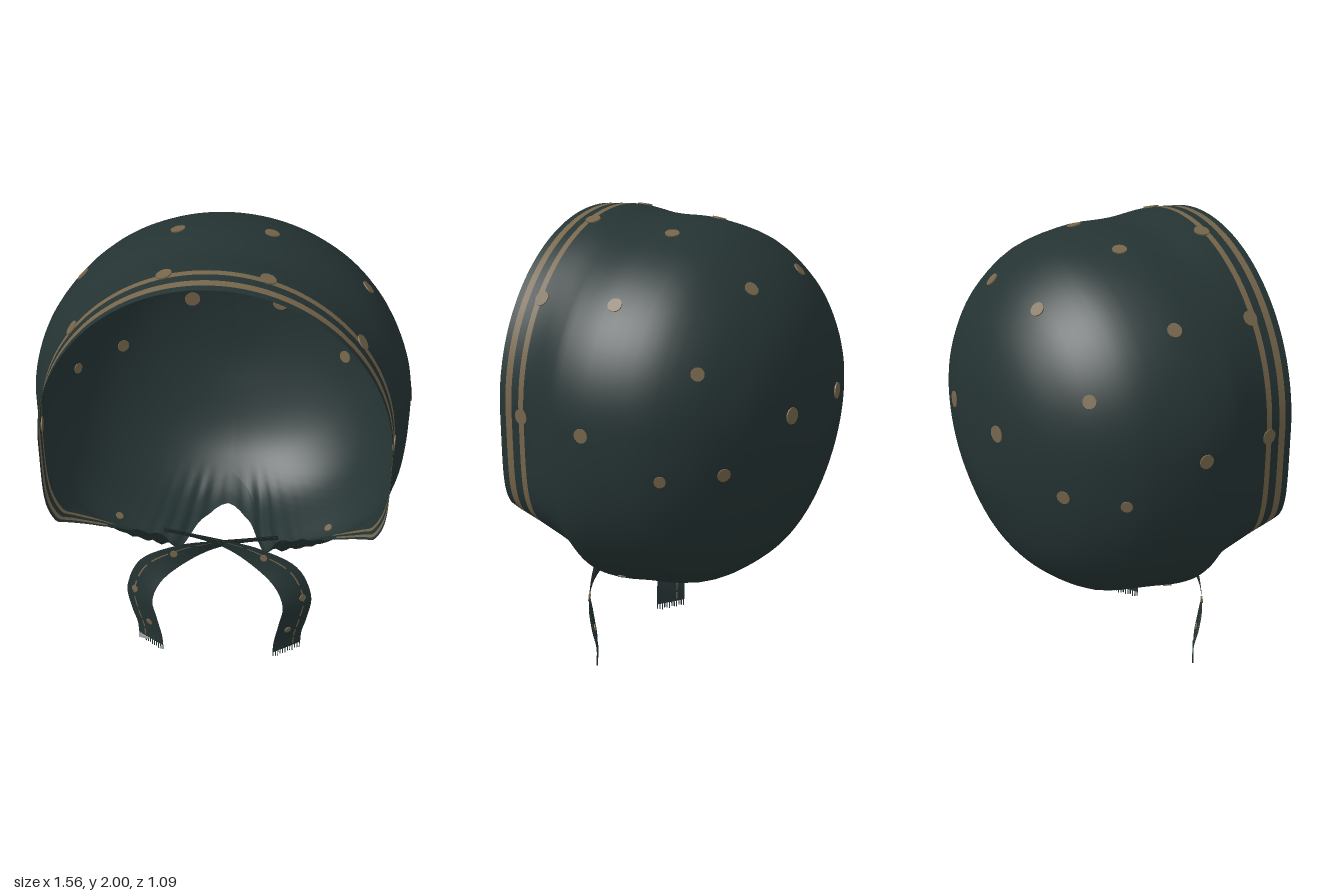
import * as THREE from 'three';

const V = (x, y, z) => new THREE.Vector3(x, y, z);
const CY = 1.25; // height of the bonnet's middle

// Cross-sections from the back pole to the front hem: [z, half width, rise, drop, squareness of lower half]
const sections = [
  [-0.55, 0, 0, 0, 2], [-0.535, 0.2, 0.19, 0.23, 2], [-0.48, 0.38, 0.36, 0.42, 2],
  [-0.4, 0.515, 0.49, 0.6, 2.1], [-0.3, 0.625, 0.59, 0.715, 2.2], [-0.15, 0.72, 0.68, 0.8, 2.3],
  [0.05, 0.77, 0.72, 0.82, 2.4], [0.2, 0.77, 0.72, 0.81, 2.7], [0.28, 0.75, 0.725, 0.68, 3.2],
  [0.4, 0.71, 0.745, 0.58, 4.5], [0.54, 0.7, 0.735, 0.49, 6],
];
const curveA = new THREE.CatmullRomCurve3(sections.map(s => V(s[0], s[1], s[2])), false, 'catmullrom', 0.5);
const curveB = new THREE.CatmullRomCurve3(sections.map(s => V(s[3], s[4], 0)), false, 'catmullrom', 0.5);

// Point on the cloth: angle in degrees around z, k = section index, side = +1 / -1
function cloth(deg, k, side) {
  const t = Math.min(1, Math.max(0, k / 10));
  const a = curveA.getPoint(t), b = curveB.getPoint(t);
  const r = THREE.MathUtils.degToRad(deg);
  const c = Math.max(0, Math.cos(r)), s = Math.abs(Math.sin(r));
  const e = deg < 0 ? 2 / b.y : 1;
  // gathers near the neck
  const gather = THREE.MathUtils.smoothstep(-deg, 55, 80) * THREE.MathUtils.smoothstep(k, 4, 6.5);
  const drop = b.x * (1 + 0.014 * gather * Math.sin(deg * 1.3));
  const y = deg < 0 ? CY - drop * Math.pow(s, e) : CY + a.z * s;
  return V(side * a.y * Math.pow(c, e), y, a.x);
}

// Edge of the cloth as (angle / 15, k): neck hole, slanted cheek edge, face opening
const edgeKeys = [[-90, 5.15], [-85, 5.6], [-82.5, 6.4], [-81, 7.2], [-79, 7.8], [-72, 8.4], [-58, 9],
  [-45, 9.6], [-36, 10], [-15, 10], [20, 10], [55, 10], [90, 10]];
const edge = new THREE.CatmullRomCurve3(edgeKeys.map(([d, k]) => V(d / 15, k, 0)));

function bonnetGeometry() {
  const half = edge.getSpacedPoints(100).map(p => ({ deg: p.x * 15, k: Math.min(10, p.y), side: 1 }));
  const cols = half.concat(half.slice(1, -1).reverse().map(c => ({ ...c, side: -1 })));
  const inner = 32, offsets = [0.89, 0.69, 0.43, 0.21, 0], rows = inner + offsets.length;
  const pos = [];
  for (let j = 0; j < rows; j++) {
    for (const c of cols) {
      const k = j < inner ? (c.k - 0.95) * j / (inner - 1) : c.k - offsets[j - inner];
      pos.push(...cloth(c.deg, k, c.side).toArray());
    }
  }
  const n = cols.length, plain = [], trim = [];
  for (let j = 0; j < rows - 1; j++) {
    for (let i = 0; i < n; i++) {
      const i2 = (i + 1) % n, a = j * n + i, b = j * n + i2;
      const striped = (j === inner || j === inner + 2) && cols[i].deg > -62;
      (striped ? trim : plain).push(a, b, b + n, a, b + n, a + n);
    }
  }
  return groupedGeometry(pos, plain, trim);
}

// Geometry with plain cloth as group 0 and trim as group 1
function groupedGeometry(pos, plain, trim) {
  const g = new THREE.BufferGeometry();
  g.setAttribute('position', new THREE.Float32BufferAttribute(pos, 3));
  g.setIndex(plain.concat(trim));
  g.addGroup(0, plain.length, 0);
  g.addGroup(plain.length, trim.length, 1);
  g.computeVertexNormals();
  return g;
}

// Tie path and half-width vectors for the +x tie, mirrored for the other
const tiePath = [[-0.25, 0.57, 0.24], [-0.1, 0.575, 0.28], [0.03, 0.565, 0.31], [0.16, 0.53, 0.34], [0.29, 0.45, 0.365],
  [0.345, 0.32, 0.375], [0.33, 0.2, 0.375], [0.31, 0.1, 0.37], [0.305, 0.03, 0.37]];
const tieWidth = [[0, 0.02, 0.01], [0, 0.025, 0.015], [0.005, 0.03, 0.01], [0.02, 0.045, 0], [0.048, 0.04, -0.02],
  [0.06, 0.005, -0.038], [0.06, -0.01, -0.038], [0.06, 0, -0.04], [0.06, 0, -0.04]];
const tieCurve = new THREE.CatmullRomCurve3(tiePath.map(p => V(...p)), false, 'catmullrom', 0.5);
const tieSpan = new THREE.CatmullRomCurve3(tieWidth.map(p => V(...p)), false, 'catmullrom', 0.5);

function tiePoint(t, across, side) {
  const p = tieCurve.getPoint(t).addScaledVector(tieSpan.getPoint(t), across);
  p.x *= side;
  if (side < 0) p.z += 0.012 * (1 - t);
  return p;
}

function tieGeometry(side) {
  const steps = 48, across = [-1, -0.3, 0.4, 0.5, 1], n = across.length;
  const pos = [], plain = [], trim = [];
  for (let i = 0; i <= steps; i++) {
    for (const s of across) pos.push(...tiePoint(i / steps, s, side).toArray());
  }
  for (let i = 0; i < steps; i++) {
    for (let j = 0; j < n - 1; j++) {
      const a = i * n + j, c = a + n;
      const quad = side > 0 ? [a, c, c + 1, a, c + 1, a + 1] : [a, c + 1, c, a, a + 1, c + 1];
      (j === 2 && i % 4 !== 3 ? trim : plain).push(...quad);
    }
  }
  return groupedGeometry(pos, plain, trim);
}

export function createModel() {
  const model = new THREE.Group();
  model.name = 'bonnet';
  const clothMat = new THREE.MeshStandardMaterial({ color: 0x253333, side: THREE.DoubleSide });
  clothMat.name = 'dark green cloth';
  const trimMat = new THREE.MeshStandardMaterial({ color: 0x75654b, side: THREE.DoubleSide });
  trimMat.name = 'tan trim';

  const add = (geometry, material, name) => {
    const mesh = new THREE.Mesh(geometry, material);
    mesh.name = name;
    model.add(mesh);
    return mesh;
  };

  // Hood with two stripes along the hem
  add(bonnetGeometry(), [clothMat, trimMat], 'hood');

  // Dots show on both faces of the cloth
  const addDot = (p, normal, r, name) => {
    const dot = add(new THREE.CylinderGeometry(r, r, 0.009, 12), trimMat, name);
    dot.position.copy(p);
    dot.quaternion.setFromUnitVectors(V(0, 1, 0), normal);
  };
  const dots = [
    [0.2, 1.28, -0.53, 0.035], [0.2, 1.77, -0.34, 0.03], [0.56, 1.5, -0.32, 0.028], [0.49, 1.09, -0.4, 0.028],
    [0.68, 1.08, -0.22, 0.024], [0.58, 1.73, 0.05, 0.03], [0.2, 1.95, 0.04, 0.03], [0.77, 1.23, 0.09, 0.03],
    [0.2, 1.95, 0.415, 0.032], [0.56, 1.71, 0.415, 0.032], [0.7, 1.25, 0.42, 0.032], [0.45, 0.57, 0.13, 0.018],
  ];
  for (const [x, y, z, r] of dots) {
    // nearest place on the cloth
    const target = V(x, y, z);
    let best = [0, 0], dist = Infinity;
    for (let d = -80; d <= 88; d += 2) {
      for (let k = 0.4; k < 9.9; k += 0.1) {
        const q = cloth(d, k, 1).distanceToSquared(target);
        if (q < dist) { dist = q; best = [d, k]; }
      }
    }
    for (const side of [1, -1]) {
      const [d, k] = best;
      const du = cloth(d + 1, k, side).sub(cloth(d - 1, k, side));
      const dv = cloth(d, k + 0.1, side).sub(cloth(d, k - 0.1, side));
      addDot(cloth(d, k, side), du.cross(dv).multiplyScalar(side).normalize(), r, 'hoodDot');
    }
  }

  // Ties crossing under the chin, with dots and frayed ends
  for (const side of [1, -1]) {
    const label = side > 0 ? 'left' : 'right';
    add(tieGeometry(side), [clothMat, trimMat], label + 'Tie');
    for (const [t, s] of [[0.4, 0.3], [0.62, 0.4], [0.81, -0.2]]) {
      const along = tiePoint(t + 0.01, s, side).sub(tiePoint(t - 0.01, s, side));
      const over = tiePoint(t, s + 0.1, side).sub(tiePoint(t, s - 0.1, side));
      addDot(tiePoint(t, s, side), along.cross(over).normalize(), 0.016, label + 'TieDot');
    }
    for (let i = 0; i < 12; i++) {
      const length = 0.022 + 0.008 * ((i * 7) % 3) / 2;
      const thread = add(new THREE.BoxGeometry(0.004, length, 0.004), clothMat, label + 'TieFringe');
      thread.position.copy(tiePoint(1, -0.95 + 1.9 * i / 11, side));
      thread.position.y -= length / 2;
    }
  }
  return model;
}
